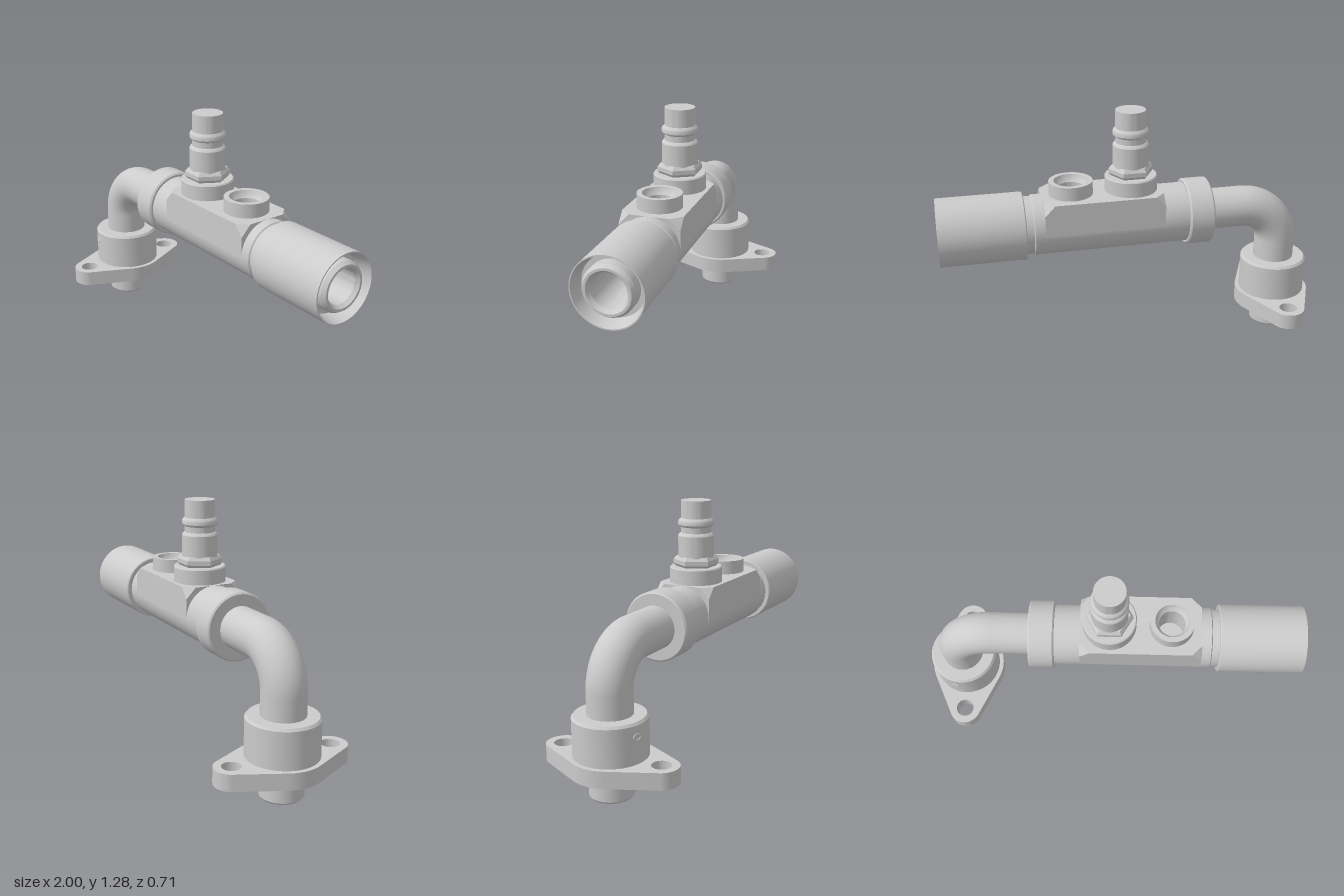
import * as THREE from 'three';
import { toCreasedNormals } from 'three/addons/utils/BufferGeometryUtils.js';

const AXIS_Y = 0.71; // height of the horizontal body
const FLANGE_X = -0.8; // position of the vertical leg
const metal = new THREE.MeshStandardMaterial({ color: 0xcccccc });
const thin = new THREE.MeshStandardMaterial({ color: 0xcccccc, side: THREE.DoubleSide });

function createModel() {
  const group = new THREE.Group();

  const add = (name, geometry, material = metal) => {
    const mesh = new THREE.Mesh(geometry, material);
    mesh.name = name;
    group.add(mesh);
    return mesh;
  };
  // Turned part from [radius, height] pairs, listed bottom to top along the outside
  const turned = (pairs, segments = 56) => toCreasedNormals(
    new THREE.LatheGeometry(pairs.map(([r, h]) => new THREE.Vector2(r, h)), segments), 0.5);
  const upright = (name, x, pairs, segments) =>
    add(name, turned(pairs, segments).translate(x, 0, 0));
  const lying = (name, pairs) =>
    add(name, turned(pairs).rotateZ(-Math.PI / 2).translate(0, AXIS_Y, 0));

  // Elbow pipe: vertical leg, quarter bend, horizontal leg
  const path = new THREE.CurvePath();
  const bend = 0.2, bx = FLANGE_X + bend, by = AXIS_Y - bend;
  const k = bend * 0.5523;
  const v = (x, y) => new THREE.Vector3(x, y, 0);
  path.add(new THREE.LineCurve3(v(FLANGE_X, 0.37), v(FLANGE_X, by)));
  path.add(new THREE.CubicBezierCurve3(
    v(FLANGE_X, by), v(FLANGE_X, by + k), v(bx - k, AXIS_Y), v(bx, AXIS_Y)));
  path.add(new THREE.LineCurve3(v(bx, AXIS_Y), v(-0.38, AXIS_Y)));
  add('elbowPipe', new THREE.TubeGeometry(path, 80, 0.108, 48), thin);

  // Flange plate with two bolt holes, outline tangent to three circles
  const rMid = 0.2, rEnd = 0.085, pitch = 0.27;
  const a = Math.asin((rMid - rEnd) / pitch);
  const plate = new THREE.Shape();
  plate.absarc(0, 0, rMid, -a, a);
  plate.absarc(0, pitch, rEnd, a, Math.PI - a);
  plate.absarc(0, 0, rMid, Math.PI - a, Math.PI + a);
  plate.absarc(0, -pitch, rEnd, Math.PI + a, 2 * Math.PI - a);
  for (const side of [-1, 1]) {
    plate.holes.push(new THREE.Path().absarc(0, side * pitch, 0.047, 0, Math.PI * 2, true));
  }
  // Bore behind the spigot passes through the plate
  plate.holes.push(new THREE.Path().absarc(0, 0, 0.1, 0, Math.PI * 2, true));
  add('flangePlate', toCreasedNormals(
    new THREE.ExtrudeGeometry(plate, { depth: 0.083, bevelEnabled: false, curveSegments: 24 })
      .rotateX(-Math.PI / 2).translate(FLANGE_X, 0.122, 0), 0.5));

  // Socket above the plate, with a small weep hole rim on the front
  upright('flangeSocket', FLANGE_X, [
    [0.105, 0.2], [0.178, 0.2], [0.178, 0.39], [0.168, 0.402], [0.1, 0.402]]);
  const rim = add('weepHoleRim', new THREE.TorusGeometry(0.021, 0.004, 8, 24));
  rim.scale.y = 0.7;
  rim.rotation.y = -0.25;
  rim.position.set(FLANGE_X - 0.044, 0.335, 0.171);

  // Hollow spigot below the plate
  upright('spigot', FLANGE_X, [
    [0, 0.34], [0.085, 0.34], [0.085, 0], [0.1, 0], [0.108, 0.01],
    [0.108, 0.1], [0.135, 0.1], [0.135, 0.123], [0.1, 0.123]]);

  // Collar joining the elbow and the body
  lying('collar', [
    [0, -0.402], [0.166, -0.402], [0.174, -0.394], [0.174, -0.278], [0.166, -0.27], [0, -0.27]]);

  // Round body ends and the half round underside between them
  const x0 = -0.14, x1 = 0.475, half = 0.155;
  lying('bodyEndInner', [[half, -0.28], [half, x0], [0, x0]]);
  lying('bodyEndOuter', [
    [0, x1], [half, x1], [half, 0.525], [0.148, 0.53], [0.148, 0.575]]);
  const under = new THREE.LatheGeometry(
    [new THREE.Vector2(half, x0), new THREE.Vector2(half, x1)], 32, 0, Math.PI);
  add('bodyUnderside', under.rotateZ(-Math.PI / 2).translate(0, AXIS_Y, 0), thin);

  // Square upper body: an octagon in plan whose cut corners run out further down
  const cx = (x0 + x1) / 2, hx = (x1 - x0) / 2, cut = 0.052, portX = 0.322;
  const outline = new THREE.Shape([
    [hx, half - cut], [hx - cut, half], [cut - hx, half], [-hx, half - cut],
    [-hx, cut - half], [cut - hx, -half], [hx - cut, -half], [hx, cut - half],
  ].map(([x, z]) => new THREE.Vector2(x, z)));
  outline.holes.push(new THREE.Path().absarc(portX - cx, 0, 0.08, 0, Math.PI * 2, true));
  const block = new THREE.ExtrudeGeometry(outline,
    { depth: 0.165, steps: 3, bevelEnabled: false, curveSegments: 24 });
  const p = block.attributes.position;
  for (let i = 0; i < p.count; i++) {
    const onOutline = Math.abs(p.getX(i)) > hx - 1e-4 || Math.abs(p.getY(i)) > half - 1e-4;
    if (onOutline && p.getZ(i) < 0.12) {
      p.setX(i, Math.sign(p.getX(i)) * hx);
      p.setY(i, Math.sign(p.getY(i)) * half);
    }
  }
  block.rotateX(-Math.PI / 2).translate(cx, 0.7, 0);
  add('bodyBlock', toCreasedNormals(block, 0.5));

  // Outlet sleeve with an annular recess around a blind inner tube
  lying('outletSleeve', [
    [0.14, 0.567], [0.169, 0.567], [0.174, 0.572], [0.174, 1], [0.168, 1], [0.15, 0.92],
    [0.125, 0.92], [0.125, 0.975], [0.112, 0.995], [0.1, 0.995], [0.086, 0.975],
    [0.086, 0.66], [0, 0.61]]);

  // Service valve: boss, chamfered hex nut and grooved stem
  const valveX = 0.01;
  upright('valveBoss', valveX, [
    [0.135, 0.86], [0.135, 0.94], [0.13, 0.946], [0, 0.946]]);
  const hex = turned([
    [0, 0.94], [0.104, 0.945], [0.116, 0.96], [0.116, 0.982], [0.102, 1], [0, 1]], 6);
  add('hexNut', hex.rotateY(Math.PI / 6).translate(valveX, 0, 0));
  upright('valveStem', valveX, [
    [0.092, 0.99], [0.092, 1.105], [0.086, 1.115], [0.078, 1.12], [0.078, 1.15],
    [0.088, 1.155], [0.092, 1.162], [0.092, 1.178], [0.088, 1.186], [0.078, 1.195],
    [0.077, 1.285], [0, 1.285]]);

  // Open side port with a countersunk blind bore
  upright('sidePort', portX, [
    [0.112, 0.86], [0.112, 0.936], [0.086, 0.936], [0.08, 0.915],
    [0.066, 0.9], [0.066, 0.74], [0, 0.74]]);

  return group;
}

export { createModel };
